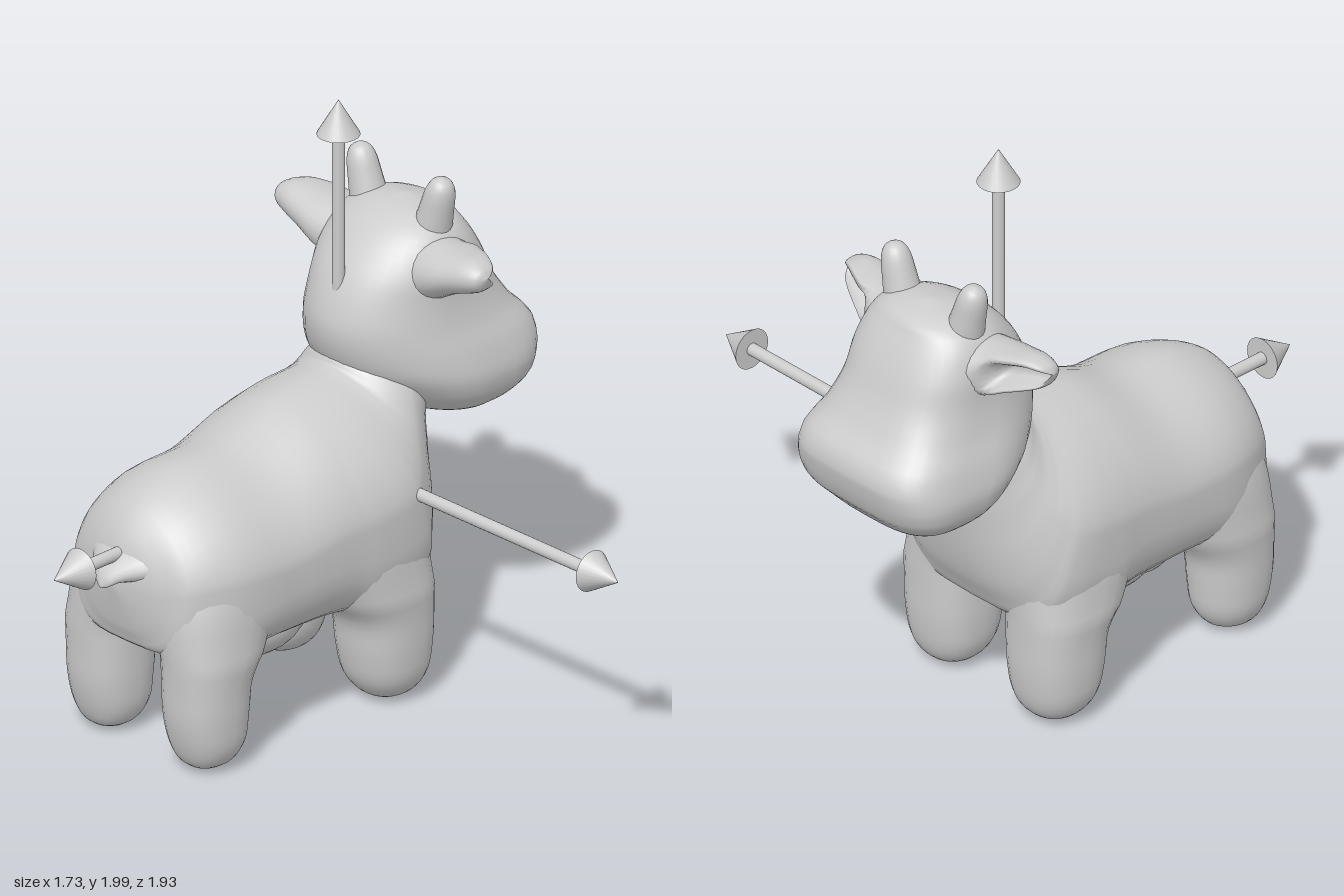
import * as THREE from 'three';

const material = new THREE.MeshStandardMaterial({ color: 0xcccccc });
const V = (x, y, z) => new THREE.Vector3(x, y, z);

// Smooth capped skin through cross-sections [topZ, topY, bottomZ, bottomY, halfWidth, squareness].
// "top" is the upper or +z edge of each ring; the two halves of a ring may differ in squareness.
function loft(sections, sides = 32, topN = 2, steps = 4) {
  const tops = new THREE.CatmullRomCurve3(sections.map(s => V(s[0], s[1], s[4])));
  const bottoms = new THREE.CatmullRomCurve3(sections.map(s => V(s[2], s[3], s[5] ?? 2)));
  const rows = (sections.length - 1) * steps;
  const pos = [], index = [];
  const power = (v, n) => Math.sign(v) * Math.abs(v) ** (2 / n);
  for (let i = 0; i <= rows; i++) {
    const p = tops.getPoint(i / rows), q = bottoms.getPoint(i / rows);
    const w = Math.max(0, p.z);
    for (let j = 0; j < sides; j++) {
      const t = (j / sides) * Math.PI * 2, c = Math.cos(t);
      const n = c < 0 ? q.z : topN;
      const k = power(c, n) / 2;
      pos.push(w * power(Math.sin(t), n), (p.y + q.y) / 2 + (p.y - q.y) * k, (p.x + q.x) / 2 + (p.x - q.x) * k);
      if (i < rows) {
        const a = i * sides + j, b = i * sides + (j + 1) % sides;
        index.push(a, b, a + sides, b, b + sides, a + sides);
      }
    }
  }
  // End caps
  const first = pos.length / 3, last = rows * sides;
  for (const s of [sections[0], sections.at(-1)]) pos.push(0, (s[1] + s[3]) / 2, (s[0] + s[2]) / 2);
  for (let j = 0; j < sides; j++) {
    const k = (j + 1) % sides;
    index.push(first, k, j, first + 1, last + j, last + k);
  }
  const g = new THREE.BufferGeometry();
  g.setAttribute('position', new THREE.Float32BufferAttribute(pos, 3));
  g.setIndex(index);
  g.computeVertexNormals();
  return g;
}

// Ear pointing sideways, swept back to its tip, with a hollow facing forward and outward
function ear(side) {
  const sides = 24;
  const g = loft([
    [0.468, 1.465, 0.468, 1.455, 0.01],
    [0.45, 1.49, 0.45, 1.415, 0.045],
    [0.40, 1.507, 0.40, 1.388, 0.072],
    [0.33, 1.503, 0.33, 1.36, 0.097],
    [0.26, 1.50, 0.26, 1.32, 0.118],
    [0.15, 1.50, 0.15, 1.26, 0.13],
  ], sides);
  const p = g.attributes.position;
  for (let i = 0; i < p.count; i++) {
    const s = side * Math.sin((i % sides) / sides * Math.PI * 2), z = p.getZ(i);
    const hollow = s > 0 ? THREE.MathUtils.smoothstep(z, 0.24, 0.32) : 0;
    const x = p.getX(i) * (1 + hollow * (0.6 - 1.7 * s ** 4));
    p.setX(i, x + side * (0.5 + 0.17 * (0.465 - z)));
  }
  g.computeVertexNormals();
  return g.rotateY(side * Math.PI / 2);
}

// Leg that leans inward above the knee, so it melts into the body
function leg(sections, x, side, topN) {
  const g = loft(sections, 28, topN);
  const p = g.attributes.position;
  for (let i = 0; i < p.count; i++) {
    p.setX(i, p.getX(i) + side * (x - 0.35 * Math.max(0, p.getY(i) - 0.4)));
  }
  g.computeVertexNormals();
  return g;
}

export function createModel() {
  const model = new THREE.Group();
  const add = (parent, name, geometry, x = 0, y = 0, z = 0) => {
    const m = new THREE.Mesh(geometry, material);
    m.name = name;
    m.position.set(x, y, z);
    parent.add(m);
    return m;
  };

  const cow = new THREE.Group();
  cow.name = 'cow';
  cow.position.x = -0.397;
  model.add(cow);

  // Body from rump to neck, boxier underneath where the legs join
  add(cow, 'body', loft([
    [0.70, 0.66, 0.70, 0.62, 0.01, 2],
    [0.685, 0.74, 0.68, 0.53, 0.10, 2.2],
    [0.65, 0.82, 0.655, 0.45, 0.185, 2.8],
    [0.57, 0.90, 0.60, 0.40, 0.28, 3.6],
    [0.42, 0.955, 0.46, 0.365, 0.342, 3.8],
    [0.20, 0.967, 0.23, 0.345, 0.358, 3],
    [0.0, 1.04, 0.02, 0.34, 0.372, 3],
    [-0.10, 1.06, -0.17, 0.34, 0.385, 3.7],
    [-0.18, 1.07, -0.34, 0.36, 0.382, 3.7],
    [-0.22, 1.075, -0.44, 0.45, 0.35, 3],
    [-0.24, 1.08, -0.495, 0.58, 0.31, 2.4],
    [-0.255, 1.085, -0.535, 0.76, 0.265, 2],
    [-0.265, 1.10, -0.56, 0.88, 0.235, 2],
    [-0.35, 1.20, -0.62, 1.0, 0.18, 2],
  ], 40, 1.72));

  // Head, from jaw up to crown, with a square muzzle
  add(cow, 'head', loft([
    [-0.66, 0.842, -0.74, 0.842, 0.01, 3],
    [-0.56, 0.86, -0.82, 0.86, 0.20, 3],
    [-0.46, 0.91, -0.893, 0.91, 0.285, 3.5],
    [-0.35, 1.0, -0.948, 1.0, 0.328, 4],
    [-0.275, 1.08, -0.965, 1.08, 0.32, 4],
    [-0.24, 1.2, -0.89, 1.2, 0.28, 3.5],
    [-0.26, 1.3, -0.833, 1.3, 0.26, 3],
    [-0.31, 1.4, -0.79, 1.4, 0.253, 2.8],
    [-0.40, 1.5, -0.733, 1.5, 0.215, 2.5],
    [-0.49, 1.555, -0.675, 1.555, 0.135, 2],
    [-0.575, 1.576, -0.605, 1.576, 0.01, 2],
  ], 40));

  // Short tail
  add(cow, 'tail', loft([
    [0.757, 0.655, 0.757, 0.645, 0.005],
    [0.745, 0.685, 0.745, 0.642, 0.03],
    [0.72, 0.715, 0.72, 0.652, 0.06],
    [0.68, 0.75, 0.68, 0.65, 0.11],
    [0.61, 0.80, 0.61, 0.62, 0.19],
  ], 20));

  // Udder
  add(cow, 'udder', new THREE.SphereGeometry(1, 28, 18), 0, 0.345, 0.12).scale.set(0.18, 0.135, 0.22);

  const frontLeg = [
    [-0.26, 0.01, -0.29, 0.01, 0.01],
    [-0.19, 0.035, -0.36, 0.035, 0.085, 2.2],
    [-0.14, 0.1, -0.40, 0.1, 0.13, 2.4],
    [-0.115, 0.2, -0.415, 0.2, 0.145, 2.5],
    [-0.095, 0.32, -0.418, 0.32, 0.149, 2.6],
    [-0.02, 0.42, -0.42, 0.42, 0.16, 2.6],
    [0.08, 0.6, -0.42, 0.6, 0.205, 2.5],
    [0.05, 0.75, -0.37, 0.75, 0.20, 2.3],
    [-0.1, 0.88, -0.3, 0.88, 0.04],
  ];
  const hindLeg = [
    [0.52, 0.01, 0.48, 0.01, 0.01],
    [0.58, 0.04, 0.41, 0.04, 0.08],
    [0.61, 0.1, 0.37, 0.1, 0.115],
    [0.632, 0.2, 0.355, 0.2, 0.128],
    [0.637, 0.31, 0.34, 0.31, 0.133],
    [0.642, 0.42, 0.27, 0.42, 0.145],
    [0.638, 0.6, 0.18, 0.6, 0.19],
    [0.58, 0.75, 0.22, 0.75, 0.185],
    [0.48, 0.84, 0.38, 0.84, 0.04],
  ];
  const horn = new THREE.LatheGeometry(new THREE.SplineCurve(
    [[0.07, -0.1], [0.064, 0], [0.056, 0.08], [0.048, 0.15], [0.03, 0.187], [0, 0.2]]
      .map(([r, y]) => new THREE.Vector2(r, y))).getPoints(16).map(p => p.setX(Math.max(0, p.x))), 20);

  // Paired parts
  for (const [side, label] of [[1, 'left'], [-1, 'right']]) {
    add(cow, label + 'FrontLeg', leg(frontLeg, 0.235, side, 2.2));
    add(cow, label + 'HindLeg', leg(hindLeg, 0.215, side, 2.4));
    add(cow, label + 'Ear', ear(side));
    add(cow, label + 'Horn', horn, side * 0.14, 1.5, -0.575).rotation.z = -side * 0.26;
  }

  // Three axis arrows sharing one origin inside the body
  for (const [name, rx, rz] of [['xArrow', 0, -Math.PI / 2], ['yArrow', 0, 0], ['zArrow', Math.PI / 2, 0]]) {
    const arrow = new THREE.Group();
    arrow.name = name;
    arrow.position.set(-0.395, 0.74, -0.296);
    arrow.rotation.set(rx, 0, rz);
    add(arrow, name + 'Shaft', new THREE.CylinderGeometry(0.021, 0.021, 1.15, 20), 0, 0.575, 0);
    add(arrow, name + 'Head', new THREE.ConeGeometry(0.07, 0.12, 24), 0, 1.2, 0);
    model.add(arrow);
  }
  return model;
}
